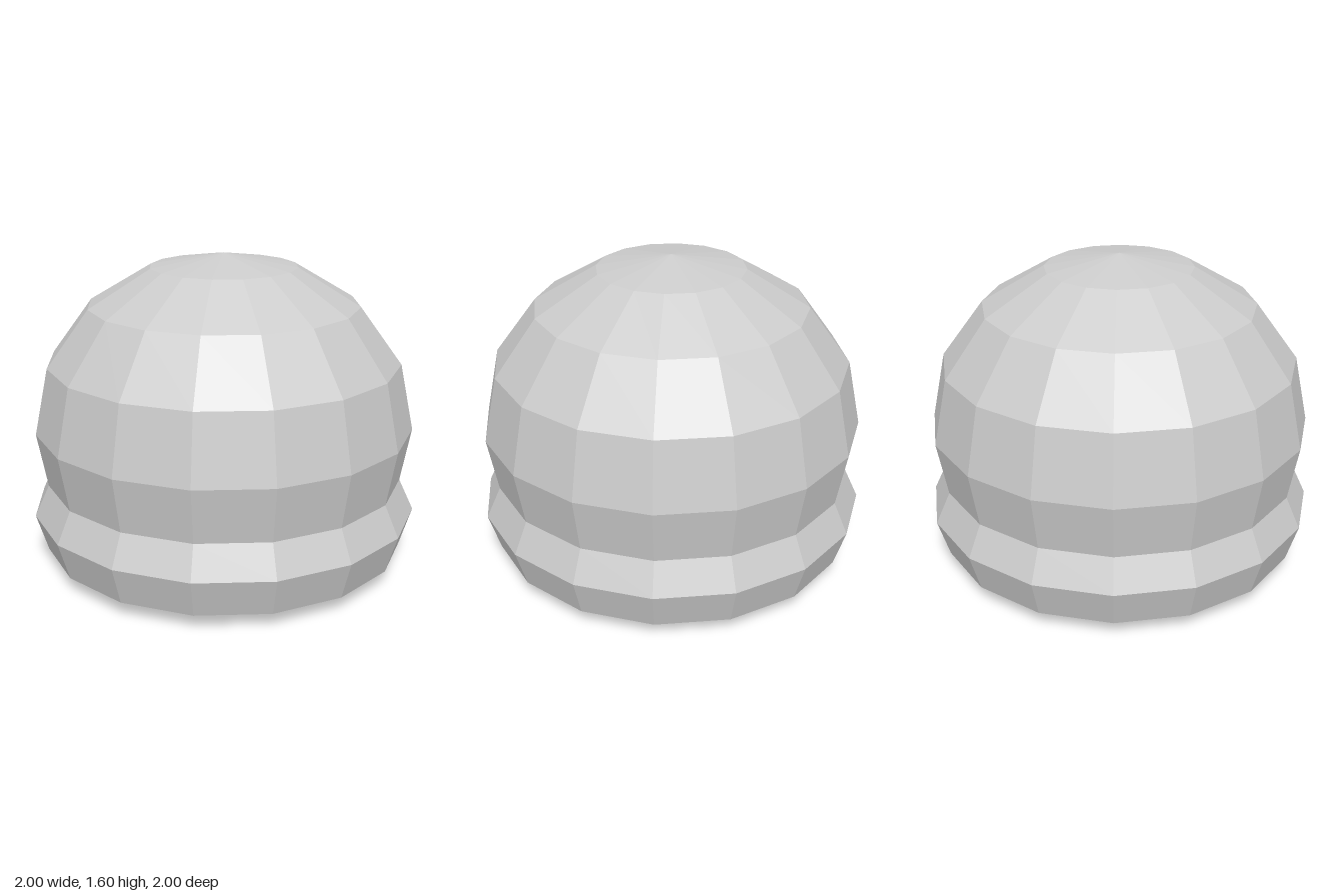
import * as THREE from 'three';

const SIDES = 16;

// Faceted part turned around the y axis from [radius, height] pairs, bottom to top
function turned(name, profile, material) {
  const points = profile.map(([r, y]) => new THREE.Vector2(r, y));
  const geometry = new THREE.LatheGeometry(points, SIDES).toNonIndexed();
  geometry.computeVertexNormals();
  const mesh = new THREE.Mesh(geometry, material);
  mesh.name = name;
  return mesh;
}

export function createModel() {
  const group = new THREE.Group();
  group.name = 'domedBody';
  const grey = new THREE.MeshStandardMaterial({ color: 0xcccccc, flatShading: true });

  // Flared base with a shallow underside
  group.add(turned('base', [
    [0, 0], [0.72, 0.005], [0.94, 0.08], [1, 0.275], [0.925, 0.435],
  ], grey));

  // Rounded dome rising from the pinched waist
  group.add(turned('dome', [
    [0.925, 0.435], [0.976, 0.715], [0.905, 1.055], [0.692, 1.343], [0.375, 1.533], [0, 1.6],
  ], grey));

  return group;
}
